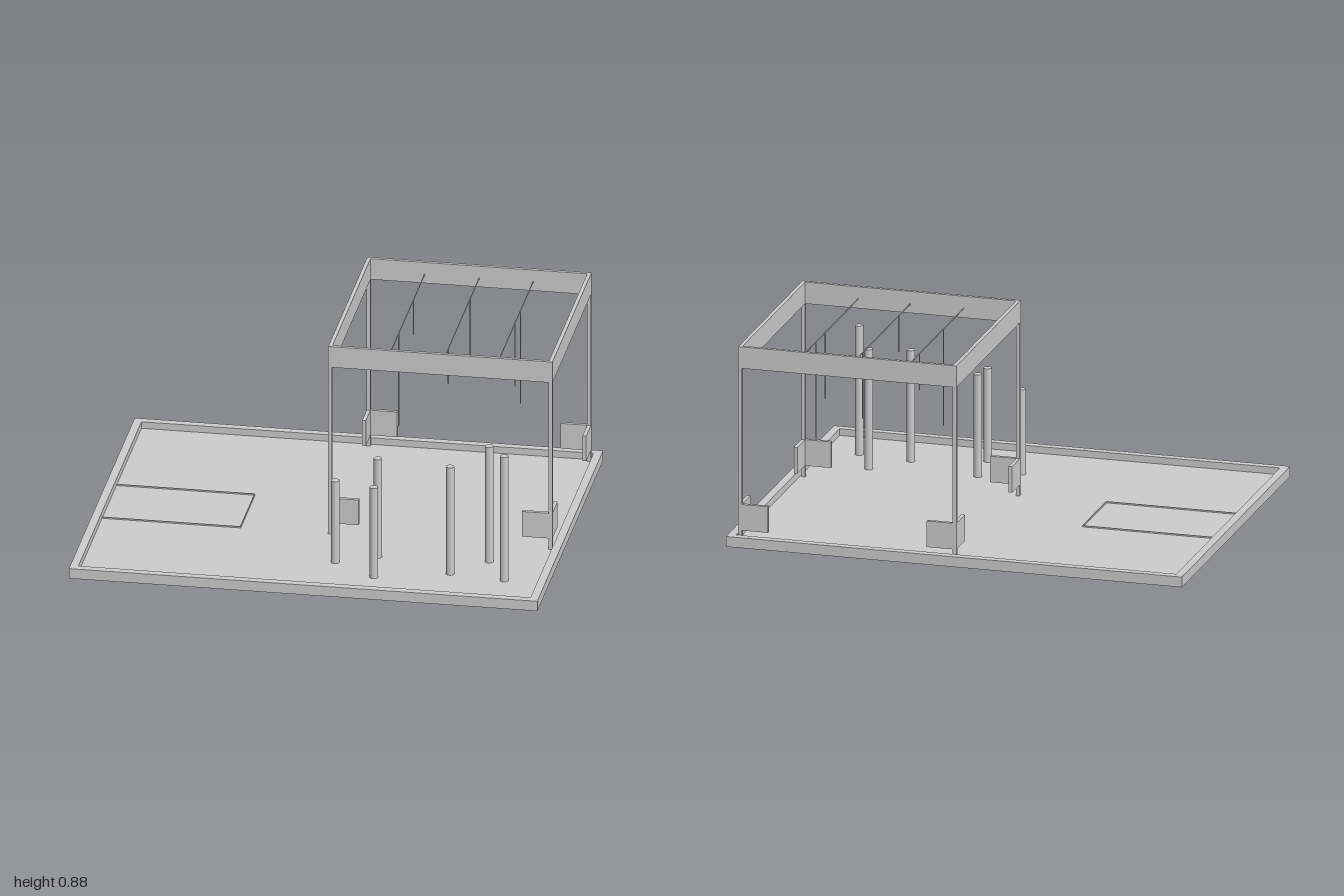
import * as THREE from 'three';

const material = new THREE.MeshStandardMaterial({ color: 0xcccccc });

// Box given by its minimum and maximum corners
function box(name, x0, x1, y0, y1, z0, z1) {
  const mesh = new THREE.Mesh(new THREE.BoxGeometry(x1 - x0, y1 - y0, z1 - z0), material);
  mesh.position.set((x0 + x1) / 2, (y0 + y1) / 2, (z0 + z1) / 2);
  mesh.name = name;
  return mesh;
}

// Upright cylinder between two heights
function rod(name, x, z, y0, y1, radius, sides) {
  const mesh = new THREE.Mesh(new THREE.CylinderGeometry(radius, radius, y1 - y0, sides), material);
  mesh.position.set(x, (y0 + y1) / 2, z);
  mesh.name = name;
  return mesh;
}

// Rectangular ring lying flat, with walls of thickness t
function ring(name, x0, x1, y0, y1, z0, z1, t) {
  const shape = new THREE.Shape();
  shape.moveTo(x0, -z1).lineTo(x1, -z1).lineTo(x1, -z0).lineTo(x0, -z0).closePath();
  const hole = new THREE.Path();
  hole.moveTo(x0 + t, -z1 + t).lineTo(x0 + t, -z0 - t).lineTo(x1 - t, -z0 - t).lineTo(x1 - t, -z1 + t).closePath();
  shape.holes.push(hole);
  const geometry = new THREE.ExtrudeGeometry(shape, { depth: y1 - y0, bevelEnabled: false });
  geometry.rotateX(-Math.PI / 2).translate(0, y0, 0);
  const mesh = new THREE.Mesh(geometry, material);
  mesh.name = name;
  return mesh;
}

export function createModel() {
  const model = new THREE.Group();
  model.name = 'canopyCourt';
  const floorY = 0.015;

  // Shallow tray: floor slab and raised rim
  model.add(box('floor', -0.965, 0.965, 0, floorY, -0.77, 0.77));
  model.add(ring('rim', -1, 1, 0, 0.045, -0.805, 0.805, 0.035));

  // Thin outline on the floor, open towards the rim
  const outline = new THREE.Group();
  outline.name = 'floorOutline';
  const lineTop = floorY + 0.006;
  for (const z of [-0.16, 0.19]) {
    outline.add(box('outlineSide', -0.965, -0.375, floorY, lineTop, z - 0.002, z + 0.002));
  }
  outline.add(box('outlineEnd', -0.377, -0.373, floorY, lineTop, -0.16, 0.19));
  model.add(outline);

  // Canopy: top beams, four columns and an L-shaped guard round each column
  const canopy = new THREE.Group();
  canopy.name = 'canopy';
  const [x0, x1, z0, z1, t, wing] = [0, 0.957, -0.767, 0.19, 0.016, 0.13];
  canopy.add(ring('topBeams', x0, x1, 0.78, 0.875, z0, z1, t));
  for (const [x, sx] of [[x0, 1], [x1, -1]]) {
    for (const [z, sz] of [[z0, 1], [z1, -1]]) {
      const span = (a, s, from, to) => [Math.min(a + s * from, a + s * to), Math.max(a + s * from, a + s * to)];
      const thickX = span(x, sx, 0, t);
      const thickZ = span(z, sz, 0, t);
      canopy.add(box('column', ...thickX, floorY, 0.78, ...thickZ));
      canopy.add(box('guardAcross', ...span(x, sx, 0, wing), 0.065, 0.18, ...thickZ));
      canopy.add(box('guardAlong', ...thickX, 0.065, 0.18, ...span(z, sz, t, wing)));
    }
  }
  model.add(canopy);

  // Wires strung between the beams, with drops hanging from them
  const wires = new THREE.Group();
  wires.name = 'wires';
  const wireY = 0.82;
  for (const x of [0.247, 0.48, 0.71]) {
    const wire = rod('wire', x, (z0 + z1) / 2, 0, z1 - z0 - 2 * t, 0.0025, 8);
    wire.rotation.x = Math.PI / 2;
    wire.position.y = wireY;
    wires.add(wire);
  }
  const drops = [
    [0.247, -0.12, 0.395], [0.247, -0.48, 0.66], [0.48, 0.003, 0.66],
    [0.48, -0.535, 0.53], [0.71, -0.31, 0.53], [0.71, -0.445, 0.395],
  ];
  for (const [x, z, bottom] of drops) wires.add(rod('drop', x, z, bottom, wireY, 0.0025, 8));
  model.add(wires);

  // Free-standing round posts of different heights
  const posts = new THREE.Group();
  posts.name = 'posts';
  const postList = [
    [0.08, 0.475, 0.39], [0.247, 0.39, 0.467], [0.267, 0.603, 0.428],
    [0.577, 0.513, 0.507], [0.717, 0.36, 0.545], [0.813, 0.543, 0.585],
  ];
  for (const [x, z, top] of postList) posts.add(rod('post', x, z, floorY, top, 0.018, 24));
  model.add(posts);

  return model;
}
